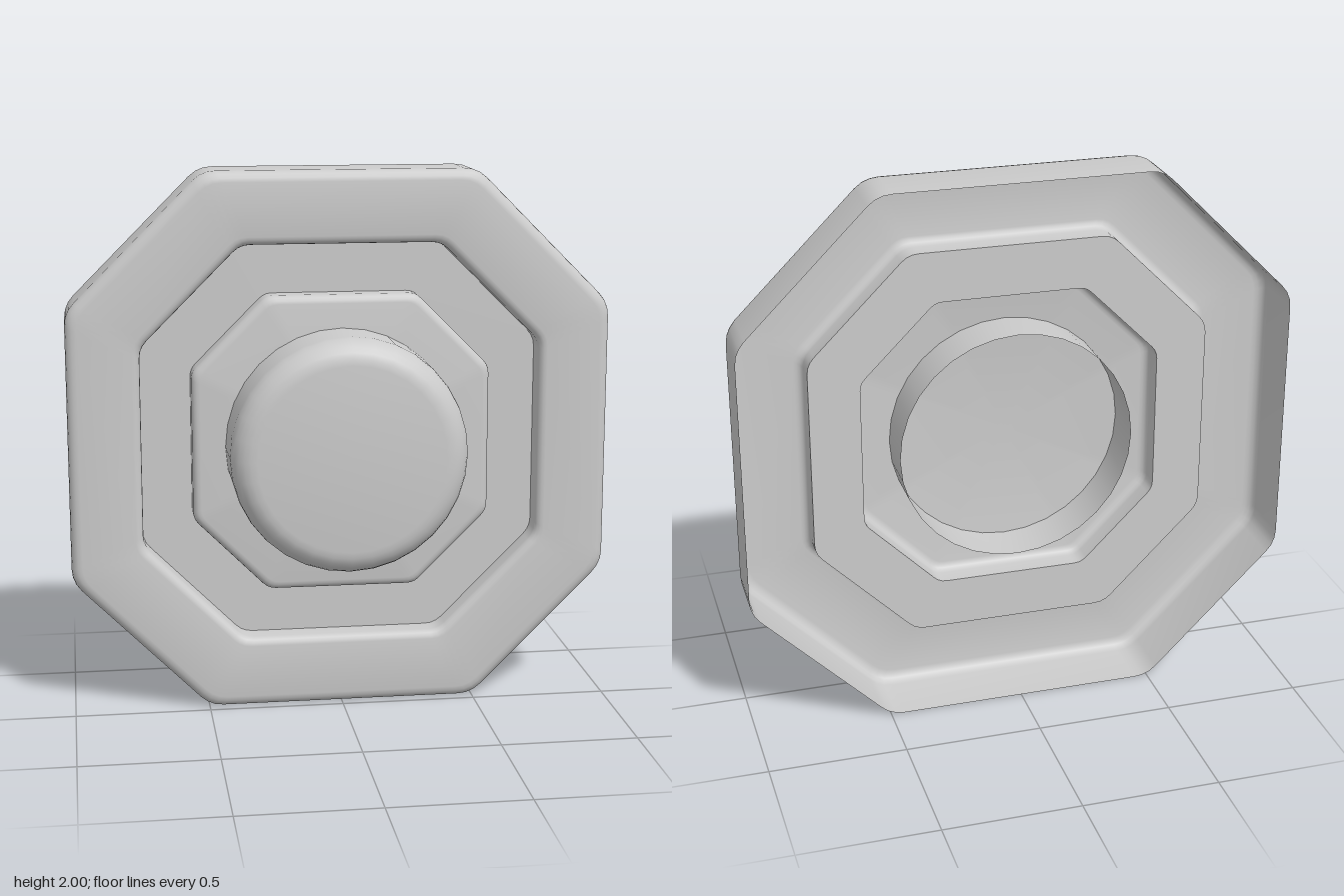
import * as THREE from 'three';
import { toCreasedNormals } from 'three/addons/utils/BufferGeometryUtils.js';

// Eight-sided outline of half-width 1 with softly rounded corners, counter-clockwise
function octagonOutline() {
  const corners = [[1, -0.5], [1, 0.5], [0.5, 1], [-0.5, 1], [-1, 0.5], [-1, -0.5], [-0.5, -1], [0.5, -1]]
    .map(([x, y]) => new THREE.Vector2(x, y));
  const points = [];
  corners.forEach((corner, i) => {
    const towards = (other) => other.clone().sub(corner).setLength(0.05).add(corner);
    const start = towards(corners[(i + 7) % 8]);
    const end = towards(corners[(i + 1) % 8]);
    points.push(...new THREE.QuadraticBezierCurve(start, corner, end).getPoints(3));
  });
  return points;
}

// Quarter-round steps from angle a to angle b as [size, z] pairs
function arc(size, z, radius, a, b, steps = 4) {
  return Array.from({ length: steps + 1 }, (_, i) => {
    const t = THREE.MathUtils.lerp(a, b, i / steps);
    return [size + radius * Math.cos(t), z + radius * Math.sin(t)];
  });
}

// Skin a stack of scaled outlines; the last one closes to a point
function loft(outline, profile) {
  const n = outline.length;
  const positions = [];
  const index = [];
  profile.forEach(([size, z]) => outline.forEach((p) => positions.push(p.x * size, p.y * size, z)));
  for (let i = 0; i < profile.length - 1; i++) {
    for (let j = 0; j < n; j++) {
      const a = i * n + j;
      const b = i * n + (j + 1) % n;
      index.push(a, b, b + n, a, b + n, a + n);
    }
  }
  const centre = positions.length / 3;
  const last = centre - n;
  positions.push(0, 0, profile[profile.length - 1][1]);
  for (let j = 0; j < n; j++) index.push(last + j, last + (j + 1) % n, centre);
  const geometry = new THREE.BufferGeometry();
  geometry.setAttribute('position', new THREE.Float32BufferAttribute(positions, 3));
  geometry.setIndex(index);
  return toCreasedNormals(geometry.toNonIndexed(), THREE.MathUtils.degToRad(48));
}

export function createModel() {
  const model = new THREE.Group();
  model.name = 'octagonalButton';
  const material = new THREE.MeshStandardMaterial({ color: 0xcccccc, side: THREE.DoubleSide });
  const half = Math.PI / 2;

  // Thin stepped plate, open at the back: rim, sunken channel, raised centre
  const plateProfile = [
    [1, -0.26],
    ...arc(0.96, -0.06, 0.04, 0, half),
    ...arc(0.765, -0.05, 0.03, half, Math.PI),
    [0.735, -0.12],
    [0.55, -0.12],
    ...arc(0.52, -0.055, 0.03, 0, half),
  ];
  const plate = new THREE.Mesh(loft(octagonOutline(), plateProfile), material);
  plate.name = 'steppedPlate';
  plate.position.y = 1;
  model.add(plate);

  // Round push knob, a hollow cup passing through the plate
  const knobProfile = [[0.43, -0.2], ...arc(0.34, 0.167, 0.09, 0, half, 6), [0, 0.257]]
    .map(([r, z]) => new THREE.Vector2(r, z));
  const knobGeometry = new THREE.LatheGeometry(knobProfile, 32).rotateX(half);
  const knob = new THREE.Mesh(toCreasedNormals(knobGeometry.toNonIndexed(), 0.6), material);
  knob.name = 'knob';
  knob.position.y = 1;
  model.add(knob);

  return model;
}
